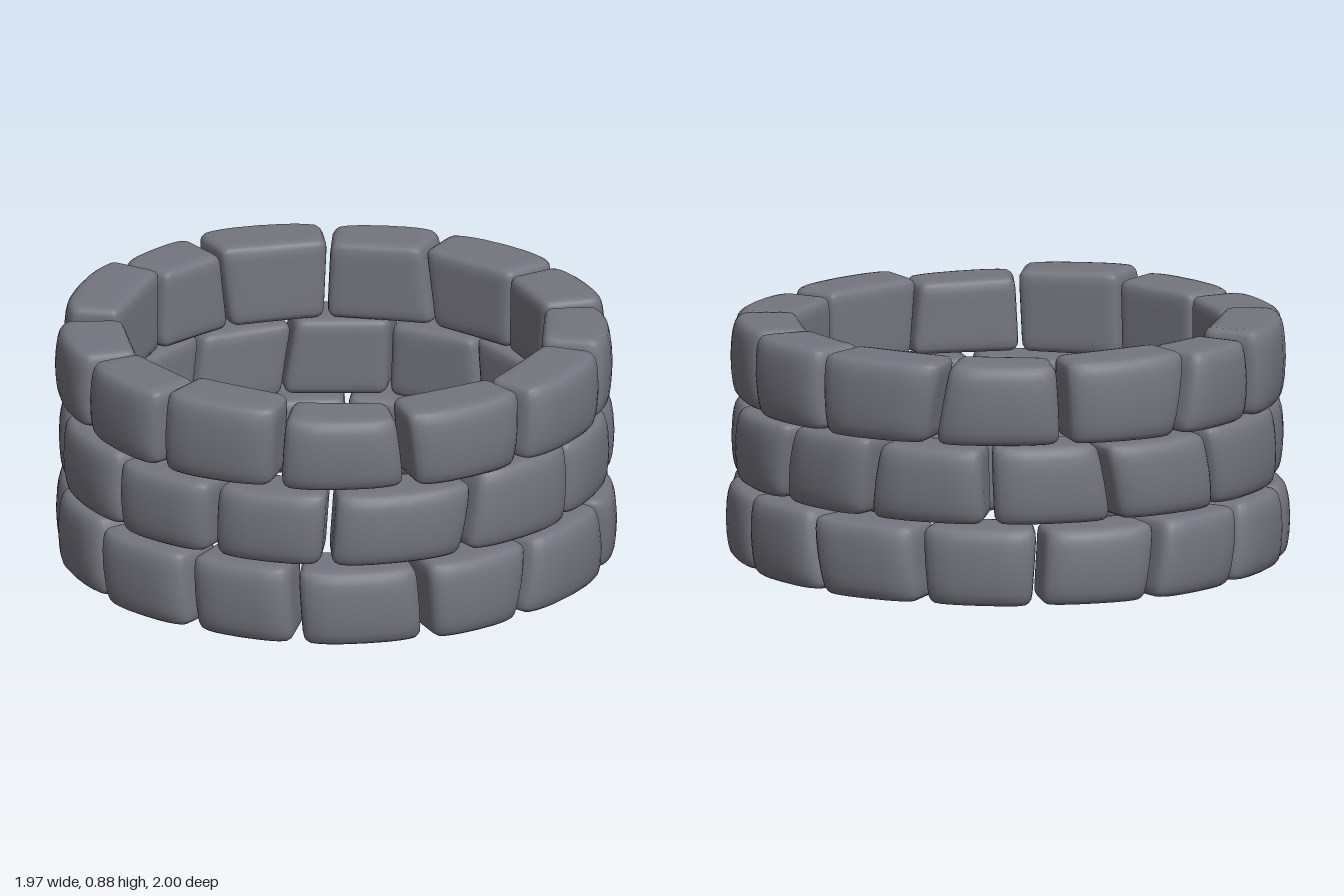
import * as THREE from 'three';
import { mergeVertices } from 'three/addons/utils/BufferGeometryUtils.js';

const RAD = Math.PI / 180;
const INNER = 0.735;

// small seeded generator, returns -1..1
function makeRandom(seed) {
  let s = seed;
  return () => {
    s = (s * 16807) % 2147483647;
    return (s / 2147483647) * 2 - 1;
  };
}

// soft-edged block whose vertices are then placed by a rule;
// the rule gets coordinates normalised to -1..1
function softBlock(w, h, d, r, place) {
  const geo = new THREE.BoxGeometry(2, 2, 2, 10, 8, 8);
  geo.deleteAttribute('normal');
  geo.deleteAttribute('uv');
  const pos = geo.attributes.position;
  const half = new THREE.Vector3(w / 2, h / 2, d / 2);
  const core = half.clone().subScalar(r);
  const p = new THREE.Vector3(), c = new THREE.Vector3();
  const crowd = (t) => Math.sign(t) * Math.pow(Math.abs(t), 0.6);
  for (let i = 0; i < pos.count; i++) {
    p.fromBufferAttribute(pos, i);
    p.set(crowd(p.x), crowd(p.y), crowd(p.z)).multiply(half);
    c.copy(p).clamp(core.clone().negate(), core);
    p.sub(c);
    if (p.length() > 0) p.setLength(r);
    p.add(c).divide(half);
    place(p);
    pos.setXYZ(i, p.x, p.y, p.z);
  }
  const out = mergeVertices(geo, 1e-5);
  out.computeVertexNormals();
  return out;
}

// stone joints in degrees, turning from +x towards +z
const COURSES = [
  {
    name: 'bottomCourse', y0: 0.005, radius: 0.995,
    joints: [1.5, 27, 55, 79.5, 105, 130, 155, 179, 204, 230, 256, 282, 307, 332],
    tops: [0.285, 0.28, 0.285, 0.28, 0.29, 0.275, 0.285],
  },
  {
    name: 'middleCourse', y0: 0.298, radius: 0.98,
    joints: [-13.5, 15.5, 48, 74.5, 100, 128, 157, 187, 214, 241, 268, 294, 320],
    tops: [0.592, 0.562, 0.562, 0.562, 0.57, 0.575, 0.585, 0.57, 0.58, 0.57, 0.58, 0.57, 0.57],
  },
  {
    name: 'topCourse', y0: 0.582, radius: 0.985,
    joints: [-79.5, -55, -28, 1.5, 31, 59, 87, 114.5, 141, 173, 196, 224.5, 252],
    tops: [0.872, 0.87, 0.855, 0.86, 0.845, 0.88, 0.862, 0.86, 0.885, 0.87, 0.88, 0.87, 0.872],
  },
];

export function createModel() {
  const group = new THREE.Group();
  const stoneGrey = new THREE.MeshStandardMaterial({ color: 0x75757f });
  stoneGrey.name = 'stoneGrey';
  const rnd = makeRandom(4711);

  // three rings of wedge stones with staggered joints
  for (const { name, y0, radius, joints, tops } of COURSES) {
    const course = new THREE.Group();
    course.name = name;
    const n = joints.length;
    const lean = joints.map(() => rnd() * 0.03);
    for (let i = 0; i < n; i++) {
      const from = joints[i] * RAD;
      const to = i + 1 < n ? joints[i + 1] * RAD : joints[0] * RAD + Math.PI * 2;
      const leanFrom = lean[i], leanTo = lean[(i + 1) % n];
      const mid = (from + to) / 2, halfAngle = (to - from) / 2 - 0.006;
      const y1 = tops[i % tops.length];
      const outer = radius + rnd() * 0.007, tilt = rnd() * 0.006;
      const geo = softBlock(halfAngle * 1.75, y1 - y0, 0.25, 0.036, (p) => {
        const k = (1 - p.x) / 2;
        const shear = p.y * (leanFrom * (1 - k) + leanTo * k);
        const t = (p.z + 1) / 2;
        const a = -p.x * halfAngle * (1 - 0.06 * t) + shear;
        // flat inner face, bulging outer face
        const R = outer - 0.025 * p.x ** 4 - 0.018 * p.y * p.y + 0.01 * p.x * Math.sign(tilt);
        const side = THREE.MathUtils.lerp(INNER * Math.tan(a), R * Math.sin(a), t);
        const out = THREE.MathUtils.lerp(INNER, R * Math.cos(a), t);
        const y = (y0 + y1) / 2 + (p.y * (y1 - y0)) / 2 + tilt * p.x * Math.max(p.y, 0);
        p.set(
          out * Math.cos(mid) - side * Math.sin(mid), y,
          out * Math.sin(mid) + side * Math.cos(mid),
        );
      });
      const stone = new THREE.Mesh(geo, stoneGrey);
      stone.name = 'stone' + (i + 1);
      course.add(stone);
    }
    group.add(course);
  }

  // two stones reaching inwards at the foot of the wall
  for (const [name, x0, x1, z] of [
    ['leftInnerStone', 0.45, 0.78, 0], ['rightInnerStone', -0.78, -0.47, 0.005],
  ]) {
    const w = x1 - x0, h = 0.275, d = 0.255;
    const geo = softBlock(w, h, d, 0.035, (p) => {
      p.set((p.x * w) / 2, (p.y * h) / 2, (p.z * d) / 2);
    });
    const stone = new THREE.Mesh(geo, stoneGrey);
    stone.name = name;
    stone.position.set((x0 + x1) / 2, 0.005 + h / 2, z);
    group.add(stone);
  }
  return group;
}
